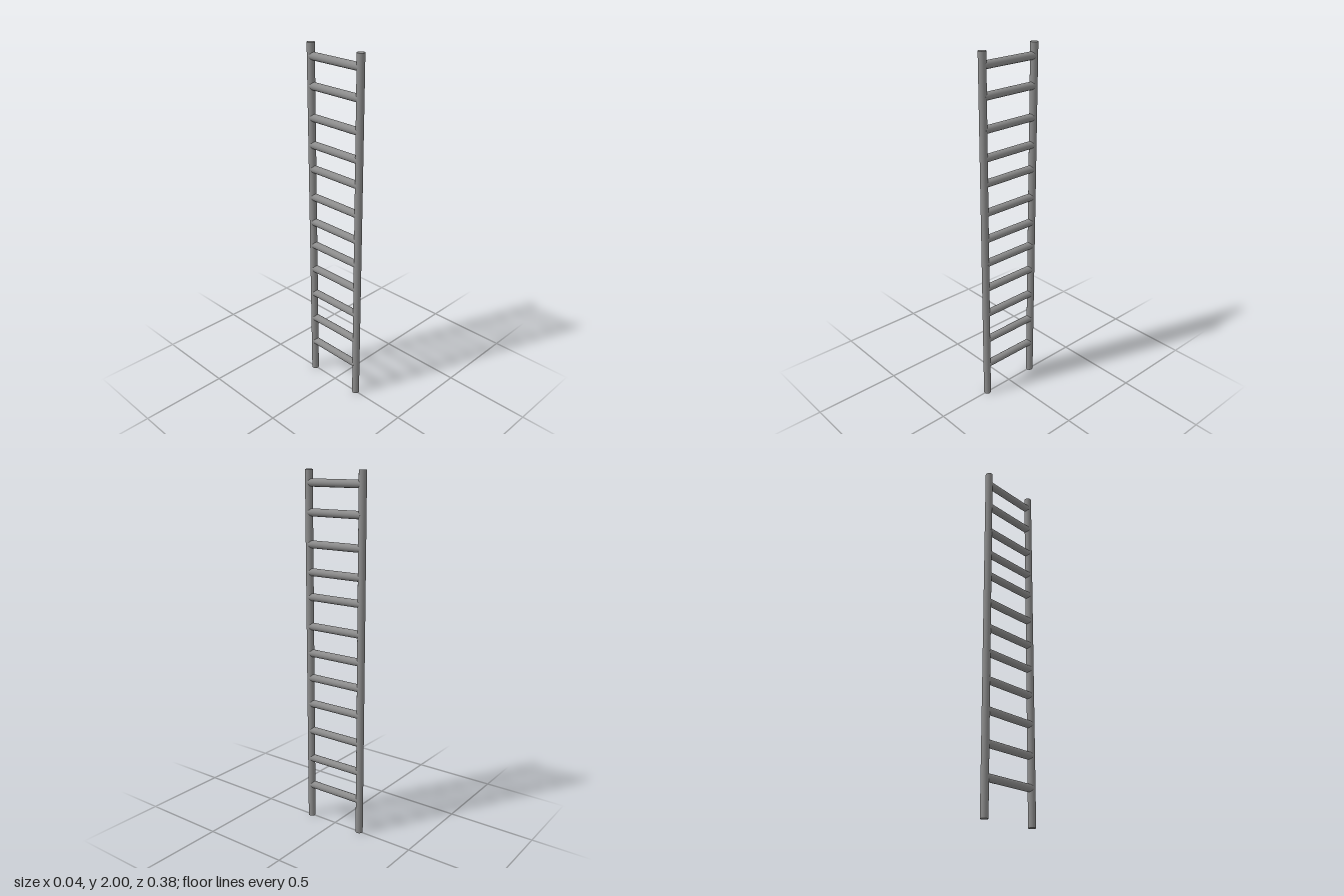
import * as THREE from 'three';

export function createModel() {
  const ladder = new THREE.Group();
  ladder.name = 'ladder';

  const metal = new THREE.MeshStandardMaterial({ color: 0x8c8c8c });
  metal.name = 'grey metal';

  const railZ = 0.171;

  // Two upright rails
  const railGeometry = new THREE.CylinderGeometry(0.0205, 0.0205, 2, 32);
  for (const side of [1, -1]) {
    const rail = new THREE.Mesh(railGeometry, metal);
    rail.name = side > 0 ? 'frontRail' : 'backRail';
    rail.position.set(0, 1, side * railZ);
    ladder.add(rail);
  }

  // Slightly unevenly spaced rungs, ending inside the rails
  const rungHeights = [0.2, 0.37, 0.542, 0.706, 0.86, 1.005, 1.158, 1.323, 1.46, 1.61, 1.778, 1.931];
  const rungGeometry = new THREE.CylinderGeometry(0.021, 0.021, 0.338, 32).rotateX(Math.PI / 2);
  rungHeights.forEach((y, i) => {
    const rung = new THREE.Mesh(rungGeometry, metal);
    rung.name = `rung${i + 1}`;
    rung.position.y = y;
    ladder.add(rung);
  });

  return ladder;
}
